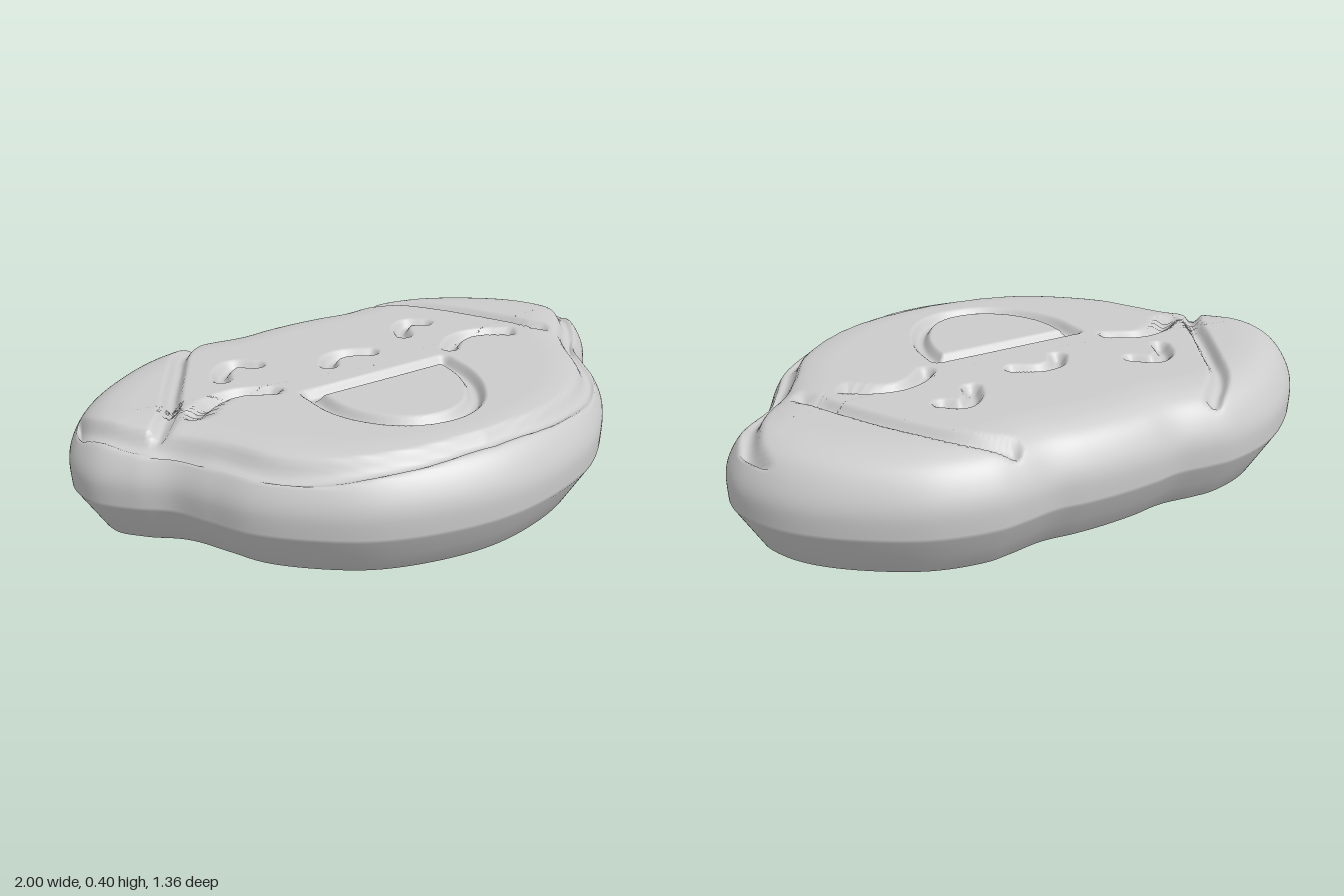
import * as THREE from 'three';

const AROUND = 380;   // vertices per ring
const INNER = 90;     // rings across the top face
const mirror = (pts) => pts.map(([x, z]) => [-x, z]);
const spline = (pts, closed = false) =>
  new THREE.CatmullRomCurve3(pts.map(([x, z]) => new THREE.Vector3(x, 0, z)), closed, 'centripetal');

// Half outline, back centre to front centre, as [x, z]
const half = [
  [0, -0.68], [0.12, -0.675], [0.22, -0.663], [0.32, -0.675], [0.42, -0.68], [0.6, -0.635],
  [0.8, -0.51], [0.92, -0.39], [0.98, -0.28], [1, -0.19], [0.98, -0.08], [0.9, 0.02],
  [0.81, 0.1], [0.75, 0.21], [0.68, 0.34], [0.55, 0.475], [0.4, 0.58], [0.2, 0.65], [0, 0.675],
];
const outline = spline([...half, ...mirror(half.slice(1, -1)).reverse()], true);

// Lines pressed into the top face, as [x, z]
const rim = [[0, 0.565], [0.25, 0.54], [0.45, 0.465], [0.6, 0.34], [0.69, 0.18], [0.77, 0.06], [0.88, -0.07], [0.945, -0.22], [0.95, -0.3]];
const grooves = [
  { pts: rim },
  { pts: mirror(rim) },
  // ears
  { pts: [[-0.38, -0.61], [-0.47, -0.53], [-0.56, -0.38], [-0.65, -0.22], [-0.72, -0.09], [-0.79, -0.01]] },
  { pts: [[0.33, -0.6], [0.44, -0.52], [0.55, -0.37], [0.64, -0.2], [0.72, -0.03]] },
  // brows
  { pts: [[-0.47, -0.23], [-0.44, -0.29], [-0.38, -0.325], [-0.32, -0.28]] },
  { pts: [[0.25, -0.23], [0.28, -0.29], [0.33, -0.325], [0.38, -0.29]] },
  // closed eyes
  { pts: [[-0.66, -0.03], [-0.58, -0.09], [-0.48, -0.11], [-0.38, -0.065]] },
  { pts: [[0.31, -0.04], [0.37, -0.09], [0.44, -0.11], [0.52, -0.09], [0.58, -0.05]] },
  // nose
  { pts: [[-0.12, -0.14], [-0.08, -0.19], [-0.02, -0.2], [0.06, -0.16]] },
  // mouth
  { pts: [[-0.29, 0.03], [0.23, 0.03]] },
  { pts: [[-0.29, 0.03], [-0.28, 0.18], [-0.22, 0.3], [-0.12, 0.38], [0, 0.4], [0.1, 0.36], [0.18, 0.26], [0.22, 0.15], [0.23, 0.03]] },
].map(({ pts }) => spline(pts).getSpacedPoints(40));

// Groove depth from the distance to the nearest pressed line
function pressDepth(x, z, width = 0.036, depth = 0.03) {
  let best = width;
  for (const line of grooves) {
    for (let i = 0; i < line.length - 1; i++) {
      const a = line[i], b = line[i + 1];
      const dx = b.x - a.x, dz = b.z - a.z;
      const t = THREE.MathUtils.clamp(((x - a.x) * dx + (z - a.z) * dz) / (dx * dx + dz * dz), 0, 1);
      best = Math.min(best, Math.hypot(x - a.x - t * dx, z - a.z - t * dz));
    }
  }
  return depth * (1 - THREE.MathUtils.smoothstep(best, 0.006, width));
}

// Edge rings as [inset from outline, height]
function edgeProfile() {
  const lower = [[0.2, 0], [0.15, 0.004], [0.105, 0.014], [0.08, 0.03], [0.04, 0.1]];
  const upper = new THREE.SplineCurve([
    [0, 0.17], [0, 0.25], [0.022, 0.31], [0.06, 0.36], [0.11, 0.387], [0.16, 0.397], [0.2, 0.4],
  ].map(([d, y]) => new THREE.Vector2(d, y)));
  return [...lower, ...upper.getSpacedPoints(32).map((p) => [p.x, p.y])];
}

function bodyGeometry() {
  const edge = outline.getSpacedPoints(AROUND).slice(0, AROUND);
  const normals = edge.map((p, i) => {
    const a = edge[(i + AROUND - 1) % AROUND], b = edge[(i + 1) % AROUND];
    return new THREE.Vector2(b.z - a.z, a.x - b.x).normalize();
  });
  const cx = 0, cz = -0.05;
  const pos = [], index = [];
  let rings = 0;

  // One ring: inset along the normal, then pulled towards the centre
  const addRing = (inset, y, shrink, pressed) => {
    for (let i = 0; i < AROUND; i++) {
      const x = THREE.MathUtils.lerp(edge[i].x - normals[i].x * inset, cx, shrink);
      const z = THREE.MathUtils.lerp(edge[i].z - normals[i].y * inset, cz, shrink);
      pos.push(x, pressed ? y - pressDepth(x, z) : y, z);
    }
    rings++;
  };

  addRing(0.2, 0, 0.999, false);
  for (const [d, y] of edgeProfile()) addRing(d, y, 0, y > 0.33);
  for (let k = 1; k <= INNER; k++) addRing(0.2, 0.4, Math.min(k / INNER, 0.999), true);

  for (let r = 0; r < rings - 1; r++) {
    for (let i = 0; i < AROUND; i++) {
      const j = (i + 1) % AROUND;
      const a = r * AROUND + i, b = r * AROUND + j;
      index.push(a, a + AROUND, b, b, a + AROUND, b + AROUND);
    }
  }
  const geo = new THREE.BufferGeometry();
  geo.setAttribute('position', new THREE.Float32BufferAttribute(pos, 3));
  geo.setIndex(index);
  geo.computeVertexNormals();
  return geo;
}

export function createModel() {
  const group = new THREE.Group();
  group.name = 'smilingCookie';
  const body = new THREE.Mesh(bodyGeometry(), new THREE.MeshStandardMaterial({ color: 0xcccccc }));
  body.name = 'cookieWithPressedFace';
  group.add(body);
  return group;
}
